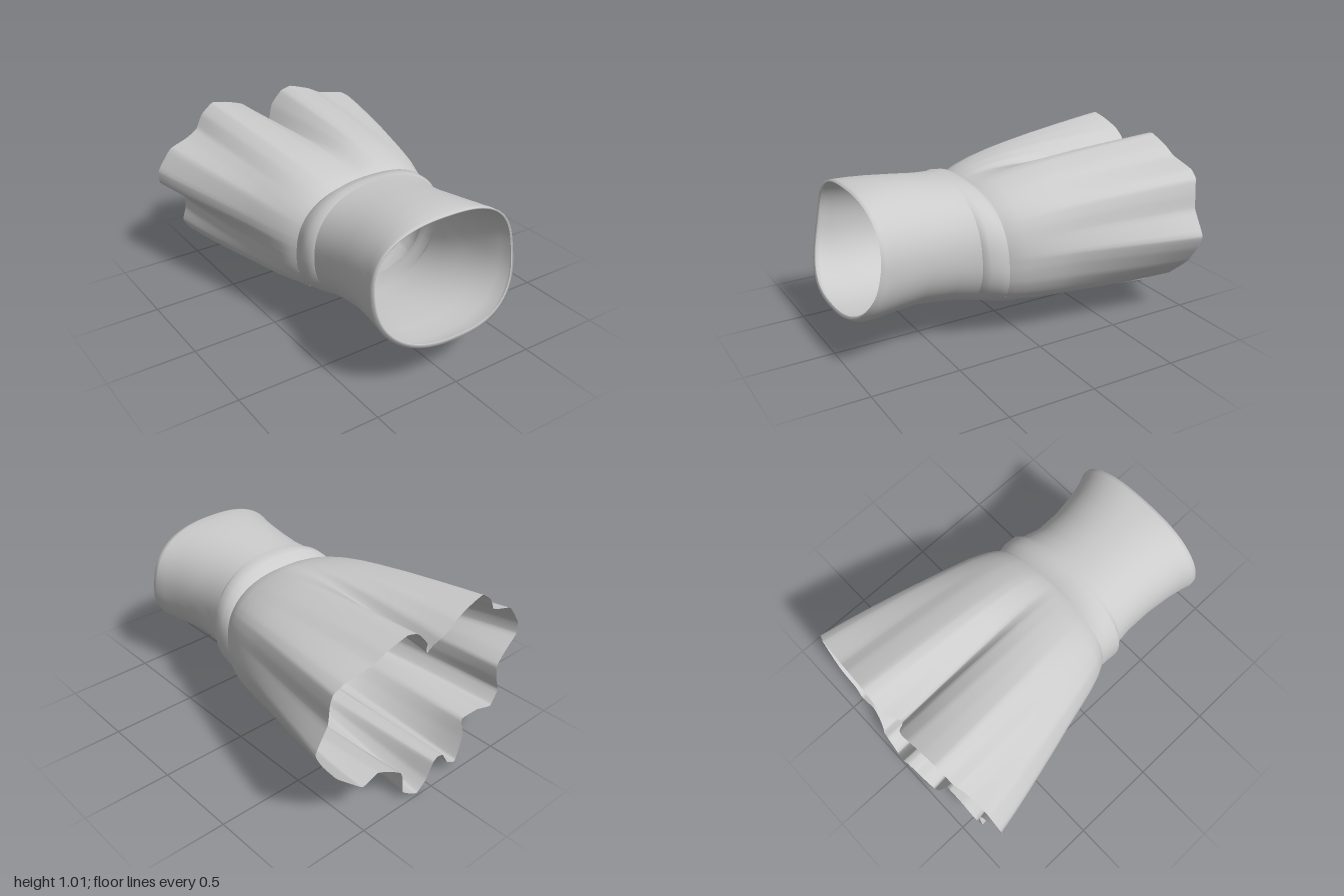
import * as THREE from 'three';

const { lerp, smoothstep } = THREE.MathUtils;
const material = new THREE.MeshStandardMaterial({ color: 0xcccccc, side: THREE.DoubleSide });

// Skin closed rings of points, ordered front to back
function loft(name, rings) {
  const n = rings[0].length;
  const index = [];
  for (let i = 0; i < rings.length - 1; i++) {
    for (let j = 0; j < n; j++) {
      const k = (j + 1) % n;
      const a = i * n + j, b = i * n + k, c = a + n, d = b + n;
      index.push(a, c, b, b, c, d);
    }
  }
  const geometry = new THREE.BufferGeometry().setFromPoints(rings.flat());
  geometry.setIndex(index);
  geometry.computeVertexNormals();
  const mesh = new THREE.Mesh(geometry, material);
  mesh.name = name;
  return mesh;
}

// Point on a squarish oval, in the direction of angle a
function oval(a, rx, top, bottom, n = 2.5) {
  const ry = (top - bottom) / 2;
  const r = (Math.abs(Math.cos(a) / rx) ** n + Math.abs(Math.sin(a) / ry) ** n) ** (-1 / n);
  return new THREE.Vector3(r * Math.cos(a), (top + bottom) / 2 + r * Math.sin(a), 0);
}

// Oval section whose plane leans from zTop to zBottom, bowed by bend and moved sideways by shift
function section(a, [rx, top, bottom, zTop, zBottom, bend = 0, n = 2.5, shift = 0]) {
  const p = oval(a, rx, top, bottom, n);
  const s = (p.y - bottom) / (top - bottom);
  p.x += shift;
  p.z = lerp(zBottom, zTop, s) + bend * 4 * s * (1 - s);
  return p;
}

// Groove where the wrist cuff meets the flare: rx, top, bottom, zTop, zBottom
const groove = [0.436, 0.855, 0.175, 0.185, 0.135];

const cuffSections = [
  [0.435, 0.92, 0.295, 0.88, 0.99, -0.05, 2.5, -0.008],
  [0.446, 0.93, 0.28, 0.885, 1.0, -0.05, 2.5, -0.01],
  [0.448, 0.937, 0.25, 0.865, 0.96, -0.05, 2.4, -0.01],
  [0.43, 0.942, 0.235, 0.8, 0.87, -0.02, 2.3, -0.012],
  [0.41, 0.94, 0.233, 0.7, 0.75, 0, 2.2, -0.015],
  [0.39, 0.926, 0.235, 0.55, 0.6, 0, 2.15, -0.018],
  [0.388, 0.91, 0.217, 0.42, 0.42, 0, 2.2, -0.014],
  [0.41, 0.902, 0.203, 0.32, 0.29, 0, 2.3, -0.005],
];
const bandSections = [
  cuffSections.at(-1),
  [0.443, 0.902, 0.195, 0.285, 0.235, 0.015, 2.3, -0.005],
  [0.44, 0.895, 0.184, 0.235, 0.18, 0, 2.4],
  groove,
];

// Ruffled hem at the back, counterclockwise from the left side
const hem = [
  [0.74, 0.56], [0.665, 0.69], [0.655, 0.78], [0.64, 0.86], [0.58, 0.9], [0.42, 0.93],
  [0.34, 0.97], [0.21, 1.01], [0.14, 0.99], [0.07, 0.91], [0.0, 0.8], [-0.05, 0.89],
  [-0.14, 0.96], [-0.24, 0.995], [-0.345, 1.015], [-0.42, 0.96], [-0.47, 0.88],
  [-0.55, 0.84], [-0.66, 0.8], [-0.745, 0.68], [-0.745, 0.6], [-0.65, 0.52],
  [-0.59, 0.46], [-0.59, 0.38], [-0.61, 0.3], [-0.555, 0.22], [-0.44, 0.25],
  [-0.31, 0.25], [-0.27, 0.15], [-0.22, 0.035], [-0.14, 0.08], [-0.09, 0.16],
  [-0.04, 0.178], [0.0, 0.165], [0.04, 0.07], [0.1, 0.005], [0.195, 0.06],
  [0.21, 0.19], [0.34, 0.24], [0.45, 0.215], [0.52, 0.27], [0.62, 0.36], [0.7, 0.47],
];

// Unpleated flare: distance along, rx, top, bottom
const flareProfile = [
  [0, 0.436, 0.855, 0.175], [0.03, 0.458, 0.872, 0.17], [0.08, 0.483, 0.89, 0.165],
  [0.17, 0.512, 0.912, 0.156], [0.27, 0.535, 0.927, 0.149], [0.37, 0.556, 0.936, 0.145],
  [0.55, 0.597, 0.945, 0.14], [0.75, 0.638, 0.949, 0.135], [0.88, 0.662, 0.95, 0.132],
  [1, 0.68, 0.95, 0.13],
];

// The hem reaches further back along its top and its lowest pleats
function hemDepth({ x, y }) {
  const top = (0.06 - 0.06 * Math.abs(x)) * smoothstep(y, 0.8, 0.93);
  const side = 0.022 * (1 - smoothstep(y, 0.3, 0.6));
  const low = (0.078 - 0.13 * Math.abs(x)) * (1 - smoothstep(y, 0.17, 0.26));
  return -0.9 - top - side - low;
}

function createFlare() {
  const curve = new THREE.CatmullRomCurve3(
    hem.map(([x, y]) => new THREE.Vector3(x, y, 0)), true, 'catmullrom', 0.2);
  const edge = curve.getPoints(hem.length * 4).slice(0, -1);
  const [, endWidth, endTop, endBottom] = flareProfile.at(-1);
  const middle = (endTop + endBottom) / 2;
  const rings = flareProfile.map(([t, rx, top, bottom]) => edge.map((e) => {
    const a = Math.atan2(e.y - middle, e.x);
    const p = oval(a, rx, top, bottom);
    // Pleats deepen towards the hem
    const pleat = e.clone().sub(oval(a, endWidth, endTop, endBottom));
    p.addScaledVector(pleat, t ** 1.15);
    p.z = lerp(section(a, groove).z, hemDepth(e), t);
    return p;
  }));
  return loft('pleatedFlare', rings);
}

export function createModel() {
  const group = new THREE.Group();
  group.name = 'flaredCuff';
  const angles = Array.from({ length: 96 }, (_, i) => (i / 96) * Math.PI * 2);
  const tube = (name, list) => loft(name, list.map((s) => angles.map((a) => section(a, s))));
  group.add(tube('wristCuff', cuffSections), tube('seamBand', bandSections), createFlare());
  return group;
}
